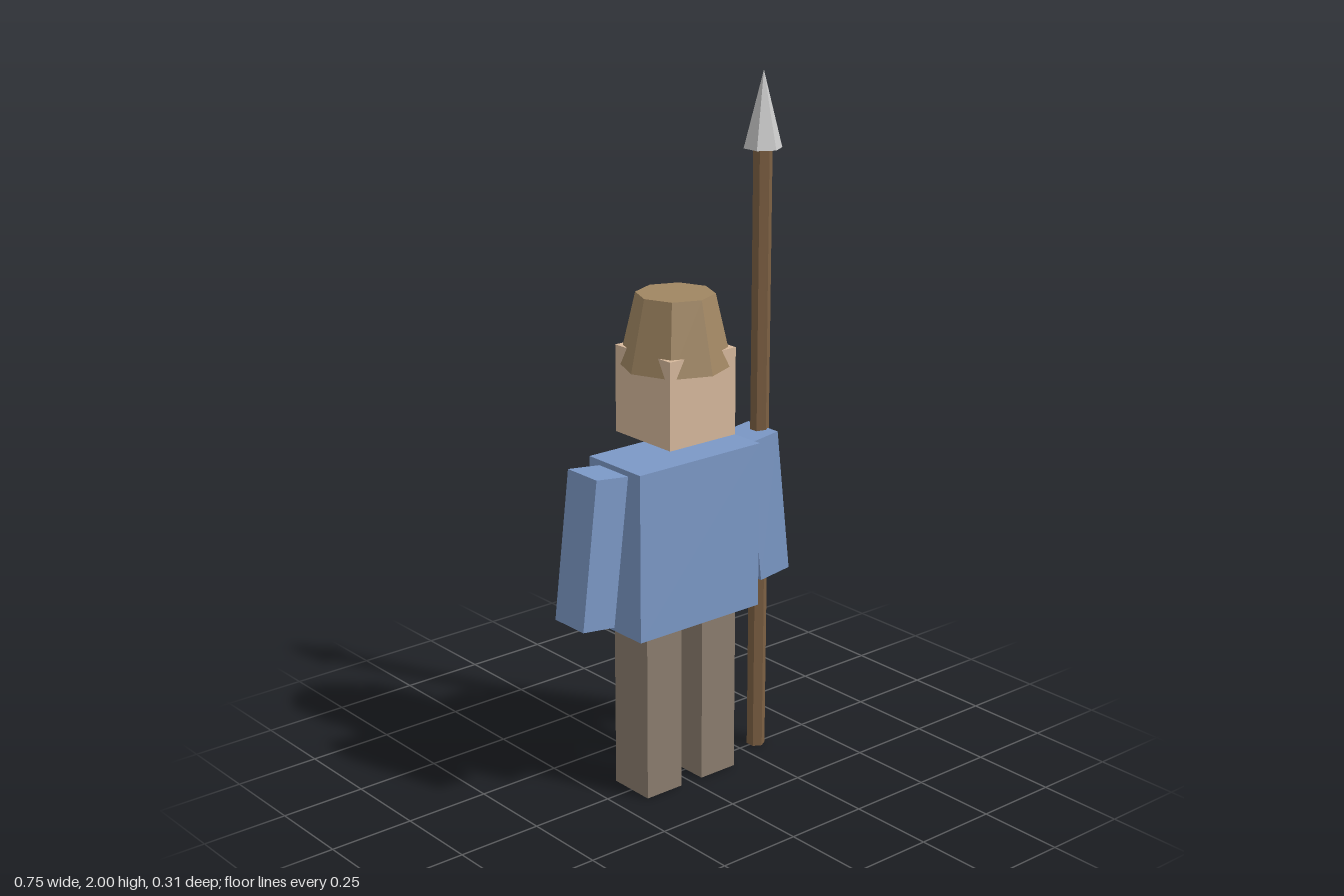
import * as THREE from 'three';

const material = (color) => new THREE.MeshStandardMaterial({ color, flatShading: true });

export function createModel() {
  const model = new THREE.Group();
  model.name = 'spearman';

  const cloth = material(0x7b98c6);
  const trousers = material(0x8b7d6e);
  const skin = material(0xd6b89c);
  const leather = material(0xa08662);
  const wood = material(0x7d6043);
  const steel = material(0xcccccc);

  const add = (name, geometry, mat, x, y, z = 0) => {
    const mesh = new THREE.Mesh(geometry, mat);
    mesh.name = name;
    mesh.position.set(x, y, z);
    model.add(mesh);
    return mesh;
  };

  // Body
  add('torso', new THREE.BoxGeometry(0.43, 0.484, 0.218), cloth, 0, 0.745);
  add('head', new THREE.BoxGeometry(0.232, 0.248, 0.232), skin, 0, 1.16);

  // Mirrored limbs; the arms splay outward toward the hands
  for (const [side, s] of [['left', 1], ['right', -1]]) {
    add(side + 'Leg', new THREE.BoxGeometry(0.124, 0.503, 0.143), trousers, s * 0.1, 0.2515);
    const arm = add(side + 'Arm', new THREE.BoxGeometry(0.108, 0.427, 0.124), cloth, s * 0.297, 0.768);
    arm.rotation.z = s * 0.12;
  }

  // Eight-sided tapered helmet, pierced by the corners of the head
  add('helmet', new THREE.CylinderGeometry(0.109, 0.155, 0.2, 8), leather, 0, 1.333);

  // Spear held on the left side
  add('spearShaft', new THREE.CylinderGeometry(0.027, 0.027, 1.787, 6), wood, 0.312, 0.8935);
  add('spearHead', new THREE.ConeGeometry(0.054, 0.213, 6), steel, 0.312, 1.8935);

  return model;
}
